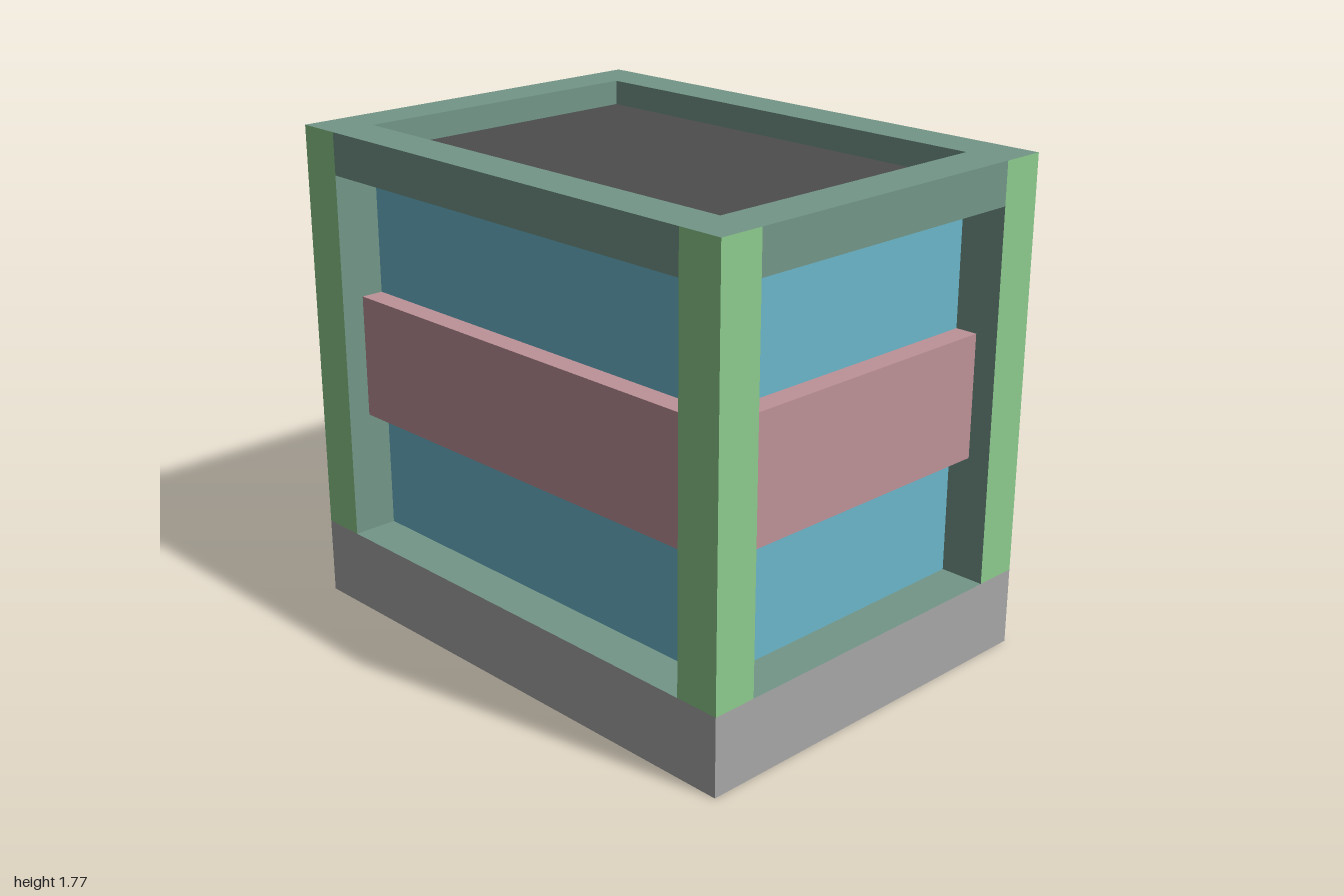
import * as THREE from 'three';

const W = 0.735, D = 1.0, H = 1.77;            // half width, half depth, height
const RIM = 0.165, INSET = 0.083;              // frame width, band setback
const BASE = 0.28, RAIL = 1.62, ROOF = 1.68;   // base top, rail underside, roof level
const BAND_LOW = 0.725, BAND_HIGH = 1.17;

// The shell is open underneath, so every sheet shows from both sides
const paint = (name, color) => {
  const m = new THREE.MeshStandardMaterial({ color, side: THREE.DoubleSide });
  m.name = name;
  return m;
};

export function createModel() {
  const mats = {
    green: paint('postGreen', 0x8cca8c),
    teal: paint('frameTeal', 0x729688),
    blue: paint('panelBlue', 0x6bb6cb),
    pink: paint('bandPink', 0xbd9298),
    grey: paint('baseGrey', 0xa7a7a7),
    dark: paint('roofDark', 0x4d4d4d),
  };

  const add = (parent, name, geometry, material) => {
    const mesh = new THREE.Mesh(geometry, material);
    mesh.name = name;
    parent.add(mesh);
    return mesh;
  };
  // Upright sheet facing +z
  const wall = (parent, name, mat, x0, x1, y0, y1, z) =>
    add(parent, name, new THREE.PlaneGeometry(x1 - x0, y1 - y0), mat)
      .position.set((x0 + x1) / 2, (y0 + y1) / 2, z);
  // Level sheet facing up (dir 1) or down (dir -1)
  const shelf = (parent, name, mat, hx, z0, z1, y, dir) => {
    const g = new THREE.PlaneGeometry(2 * hx, z1 - z0).rotateX(-dir * Math.PI / 2);
    add(parent, name, g, mat).position.set(0, y, (z0 + z1) / 2);
  };

  // One side of the crate, facing +z, with half width hw and distance d
  const makeSide = (name, hw, d) => {
    const side = new THREE.Group();
    side.name = name;
    const open = hw - RIM, back = d - RIM, mid = d - INSET;

    wall(side, 'baseWall', mats.grey, -hw, hw, 0, BASE, d);
    wall(side, 'postFaceRight', mats.green, -hw, -open, BASE, H, d);
    wall(side, 'postFaceLeft', mats.green, open, hw, BASE, H, d);
    wall(side, 'topRail', mats.teal, -open, open, RAIL, H, d);
    shelf(side, 'sill', mats.teal, open, back, d, BASE, 1);
    shelf(side, 'railUnderside', mats.teal, open, back, d, RAIL, -1);
    wall(side, 'lowerPanel', mats.blue, -open, open, BASE, BAND_LOW, back);
    wall(side, 'upperPanel', mats.blue, -open, open, BAND_HIGH, RAIL, back);

    // Raised band
    wall(side, 'band', mats.pink, -open, open, BAND_LOW, BAND_HIGH, mid);
    shelf(side, 'bandTop', mats.pink, open, back, mid, BAND_HIGH, 1);
    shelf(side, 'bandBottom', mats.pink, open, back, mid, BAND_LOW, -1);

    // Jambs, notched where the band meets them
    const jamb = new THREE.Shape([
      [back, BASE], [d, BASE], [d, RAIL], [back, RAIL],
      [back, BAND_HIGH], [mid, BAND_HIGH], [mid, BAND_LOW], [back, BAND_LOW],
    ].map(([x, y]) => new THREE.Vector2(x, y)));
    for (const s of [-1, 1]) {
      const g = new THREE.ShapeGeometry(jamb).rotateY(-Math.PI / 2);
      add(side, s > 0 ? 'jambLeft' : 'jambRight', g, mats.teal).position.x = s * open;
    }

    // Inner lip around the sunken roof
    wall(side, 'roofLip', mats.teal, -open, open, ROOF, H, back);
    return side;
  };

  const model = new THREE.Group();
  model.name = 'crate';
  ['front', 'left', 'back', 'right'].forEach((name, i) => {
    const side = i % 2 ? makeSide(name + 'Side', D, W) : makeSide(name + 'Side', W, D);
    side.rotation.y = i * Math.PI / 2;
    model.add(side);
  });

  // Top rim with a rectangular opening
  const rect = (hx, hz) => [[-hx, -hz], [hx, -hz], [hx, hz], [-hx, hz]]
    .map(([x, y]) => new THREE.Vector2(x, y));
  const rim = new THREE.Shape(rect(W, D));
  rim.holes.push(new THREE.Path(rect(W - RIM, D - RIM)));
  add(model, 'topRim', new THREE.ShapeGeometry(rim).rotateX(-Math.PI / 2), mats.teal).position.y = H;

  shelf(model, 'roof', mats.dark, W - RIM, -(D - RIM), D - RIM, ROOF, 1);
  return model;
}
